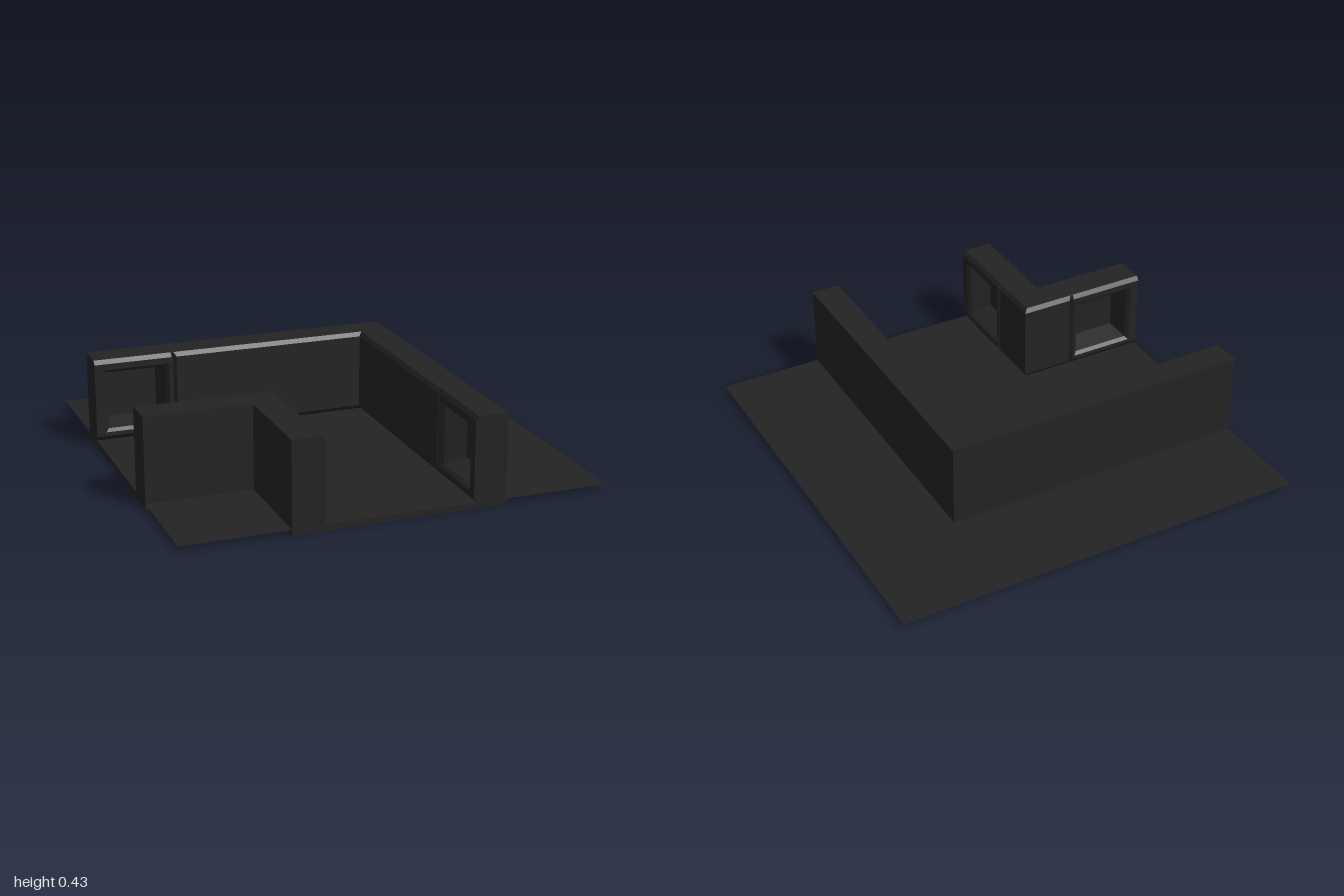
import * as THREE from 'three';

const charcoal = new THREE.MeshStandardMaterial({ color: 0x232323 });
charcoal.name = 'charcoal';
const charcoalSheet = new THREE.MeshStandardMaterial({ color: 0x232323, side: THREE.DoubleSide });
charcoalSheet.name = 'charcoal sheet';

const THICK = 0.155, LIP = 0.14, HEIGHT = 0.43;

// Wall section as [depth from outer face, height], bevelled along the inner top and bottom
const section = (face) => [
  [0, 0], [0, HEIGHT], [LIP, HEIGHT], [face, 0.41], [face, 0.05], [LIP, 0.03], [LIP, 0],
];

// One straight wall leg from the open end to its mitred corner.
// place(s, y, d) gives the world position; flip reverses winding for mirrored legs.
function wallLeg(place, cornerAt, flip) {
  const pos = [];
  const tri = (a, b, c) => {
    for (const p of flip ? [a, c, b] : [a, b, c]) pos.push(...place(...p));
  };
  const quad = (a, b, c, d) => { tri(a, b, c); tri(a, c, d); };

  // Stations along the wall: niche bay, V groove, plain run, mitre
  const rows = [[-1, THICK], [-0.623, THICK], [-0.61, LIP], [-0.597, THICK], [null, THICK]]
    .map(([s, face]) => section(face).map(([d, y]) => [s === null ? cornerAt(d) : s, y, d]));
  for (let r = 0; r < rows.length - 1; r++) {
    const a = rows[r], b = rows[r + 1];
    for (let i = 0; i < a.length; i++) {
      if (r === 0 && i === 3) continue; // left open for the niche
      const j = (i + 1) % a.length;
      quad(a[i], a[j], b[j], b[i]);
    }
  }
  // Cap on the open end
  const end = rows[0];
  for (let i = 1; i < end.length - 1; i++) tri(end[0], end[i + 1], end[i]);

  // Niche: frame, chamfer, splayed sides and back, as nested rectangles
  const rings = [
    [-1, -0.623, 0.05, 0.41, THICK],
    [-0.955, -0.635, 0.07, 0.38, THICK],
    [-0.94, -0.65, 0.085, 0.365, LIP],
    [-0.915, -0.675, 0.115, 0.34, 0.04],
  ].map(([s0, s1, y0, y1, d]) => [[s0, y0, d], [s1, y0, d], [s1, y1, d], [s0, y1, d]]);
  for (let r = 0; r < rings.length - 1; r++) {
    for (let i = 0; i < 4; i++) {
      const j = (i + 1) % 4;
      quad(rings[r][i], rings[r][j], rings[r + 1][j], rings[r + 1][i]);
    }
  }
  quad(...rings[rings.length - 1]);

  const geo = new THREE.BufferGeometry();
  geo.setAttribute('position', new THREE.Float32BufferAttribute(pos, 3));
  geo.computeVertexNormals();
  return new THREE.Mesh(geo, charcoal);
}

export function createModel() {
  const group = new THREE.Group();
  const add = (mesh, name) => { mesh.name = name; group.add(mesh); };

  // Ground sheet
  const ground = new THREE.Mesh(new THREE.PlaneGeometry(2, 2), charcoalSheet);
  ground.rotation.x = -Math.PI / 2;
  ground.position.y = 0.027;
  add(ground, 'ground');

  // L-shaped corridor floor (shape y is world -z)
  const e = 0.5 - LIP;
  const plan = new THREE.Shape(
    [[-1, e], [-1, -e], [-e, -e], [-e, -1], [e, -1], [e, e]].map(([x, y]) => new THREE.Vector2(x, y)));
  const floorGeo = new THREE.ExtrudeGeometry(plan, { depth: 0.03, bevelEnabled: false });
  floorGeo.rotateX(-Math.PI / 2);
  add(new THREE.Mesh(floorGeo, charcoal), 'corridorFloor');

  // Two walls, each with two legs mirrored across the corridor's diagonal
  const walls = [
    ['outerWall', (s, y, d) => [s, y, -0.5 + d], (d) => 0.5 - d, false],
    ['innerWall', (s, y, d) => [s, y, 0.5 - d], (d) => -0.5 + d, true],
  ];
  for (const [name, place, cornerAt, flip] of walls) {
    add(wallLeg(place, cornerAt, flip), name + 'Side');
    const mirrored = (s, y, d) => {
      const [x, h, z] = place(s, y, d);
      return [-z, h, -x];
    };
    add(wallLeg(mirrored, cornerAt, !flip), name + 'Front');
  }
  return group;
}
